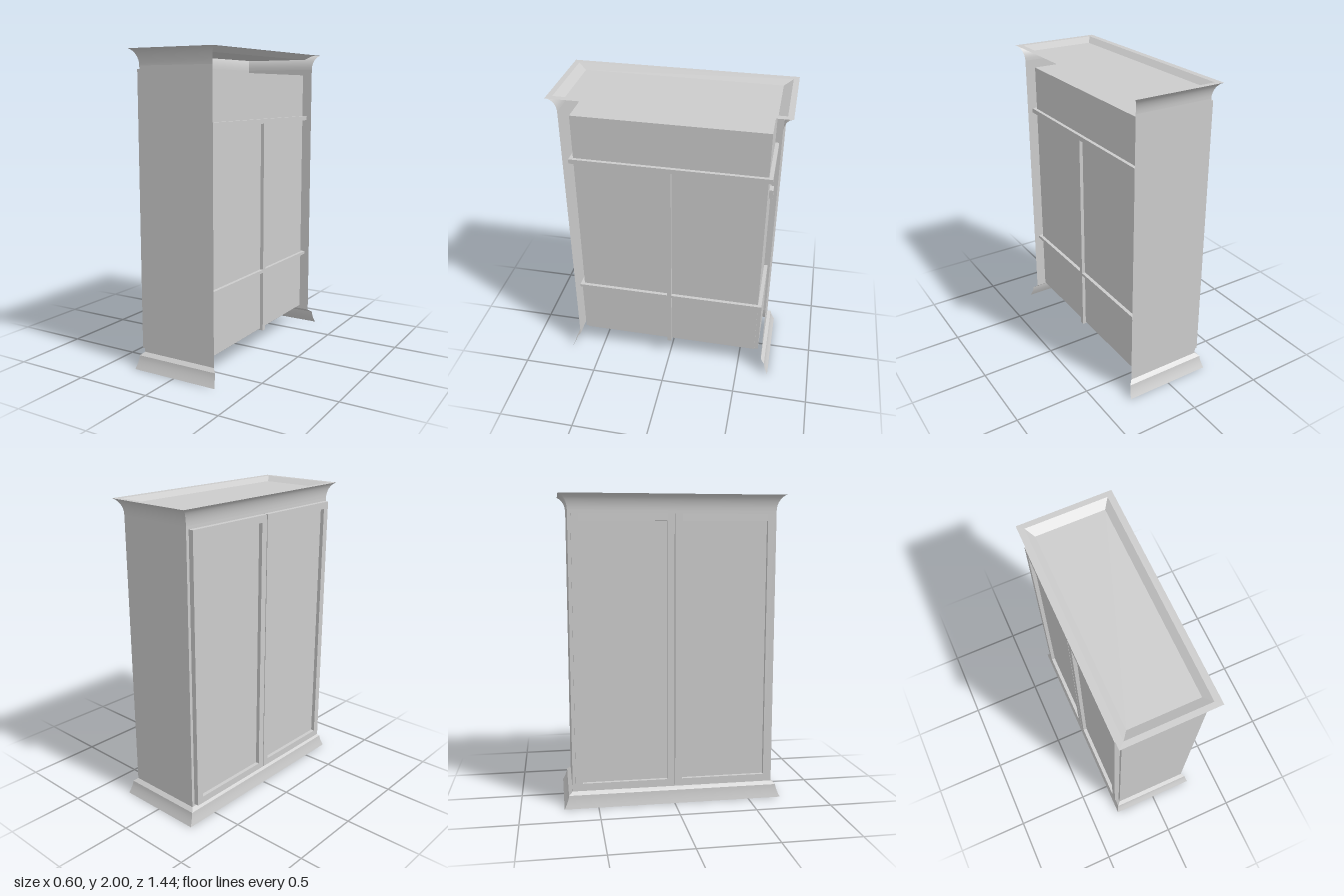
import * as THREE from 'three';

const material = new THREE.MeshStandardMaterial({ color: 0xcccccc, side: THREE.DoubleSide });

// Sweep a profile of [y, halfX, halfZ] rows round a rectangle.
// Sides in order: +z, -x, -z, +x; three sides leave the +x back open.
function bands(name, profile, sides = 3) {
  const signs = [[1, 1], [-1, 1], [-1, -1], [1, -1]];
  const pos = [];
  const index = [];
  for (let s = 0; s < sides; s++) {
    const start = pos.length / 3;
    profile.forEach(([y, hx, hz], k) => {
      for (const [sx, sz] of [signs[s], signs[(s + 1) % 4]]) pos.push(sx * hx, y, sz * hz);
      if (k > 0) {
        const a = start + (k - 1) * 2;
        index.push(a, a + 2, a + 1, a + 1, a + 2, a + 3);
      }
    });
  }
  const geo = new THREE.BufferGeometry();
  geo.setAttribute('position', new THREE.Float32BufferAttribute(pos, 3));
  geo.setIndex(index);
  geo.computeVertexNormals();
  const mesh = new THREE.Mesh(geo, material);
  mesh.name = name;
  return mesh;
}

// Box given by its lower and upper limits on each axis
function box(name, [x0, x1], [y0, y1], [z0, z1]) {
  const mesh = new THREE.Mesh(new THREE.BoxGeometry(x1 - x0, y1 - y0, z1 - z0), material);
  mesh.position.set((x0 + x1) / 2, (y0 + y1) / 2, (z0 + z1) / 2);
  mesh.name = name;
  return mesh;
}

// Framed door with a recessed panel, on the -x face
function door(name, z0, z1) {
  const group = new THREE.Group();
  group.name = name;
  const y0 = 0.12, y1 = 1.88, stile = 0.045;
  const x = [-0.292, -0.26];
  group.add(
    box('doorStile', x, [y0, y1], [z0, z0 + stile]),
    box('doorStile', x, [y0, y1], [z1 - stile, z1]),
    box('doorRail', x, [y0, y0 + stile], [z0 + stile, z1 - stile]),
    box('doorRail', x, [y1 - stile, y1], [z0 + stile, z1 - stile]),
    box('doorPanel', [-0.267, -0.26], [y0 + stile, y1 - stile], [z0 + stile, z1 - stile])
  );
  return group;
}

export function createModel() {
  const root = new THREE.Group();
  root.name = 'wardrobe';

  // Outer shell: skirting, walls and flared crown, open at the back
  const skirting = [];
  for (let i = 0; i <= 5; i++) {
    const t = i / 5, f = (1 - t) ** 1.5;
    skirting.push([0.085 * t, 0.283 + 0.015 * f, 0.69 + 0.03 * f]);
  }
  const crown = [];
  for (let i = 0; i <= 8; i++) {
    const a = (i / 8) * Math.PI * 0.42;
    const f = (1 - Math.cos(a)) / (1 - Math.cos(Math.PI * 0.42));
    const h = Math.sin(a) / Math.sin(Math.PI * 0.42);
    crown.push([1.9 + 0.1 * h, 0.26 + 0.04 * f, 0.665 + 0.055 * f]);
  }
  root.add(
    bands('skirting', skirting),
    bands('skirtingBevel', [[0.085, 0.283, 0.69], [0.105, 0.26, 0.665]]),
    bands('walls', [[0.105, 0.26, 0.665], [1.9, 0.26, 0.665]]),
    bands('crown', crown)
  );

  // Sunken top: flat rim, sloped edge, floor
  root.add(
    bands('topRim', [[2, 0.3, 0.72], [2, 0.26, 0.685]], 4),
    bands('topSlope', [[2, 0.26, 0.685], [1.97, 0.22, 0.63]], 4)
  );
  const top = new THREE.Mesh(new THREE.PlaneGeometry(0.44, 1.26), material);
  top.rotation.x = -Math.PI / 2;
  top.position.y = 1.97;
  top.name = 'topPanel';
  root.add(top);

  // Inner cabinet with shelves and divider showing at the back
  root.add(
    box('innerCabinet', [-0.23, 0.217], [0.15, 1.86], [-0.61, 0.61]),
    box('upperShelf', [-0.23, 0.24], [1.54, 1.57], [-0.635, 0.635]),
    box('hangingRail', [-0.03, 0.03], [1.305, 1.365], [-0.635, 0.635]),
    box('lowerShelf', [-0.23, 0.24], [0.545, 0.565], [-0.635, 0.635]),
    box('drawerBlock', [-0.23, 0.2], [0.14, 0.55], [-0.635, 0.635]),
    box('divider', [-0.23, 0.24], [0.14, 1.55], [-0.015, 0.015])
  );

  // Pair of doors
  root.add(door('rearDoor', -0.645, -0.003), door('frontDoor', 0.003, 0.645));
  return root;
}
